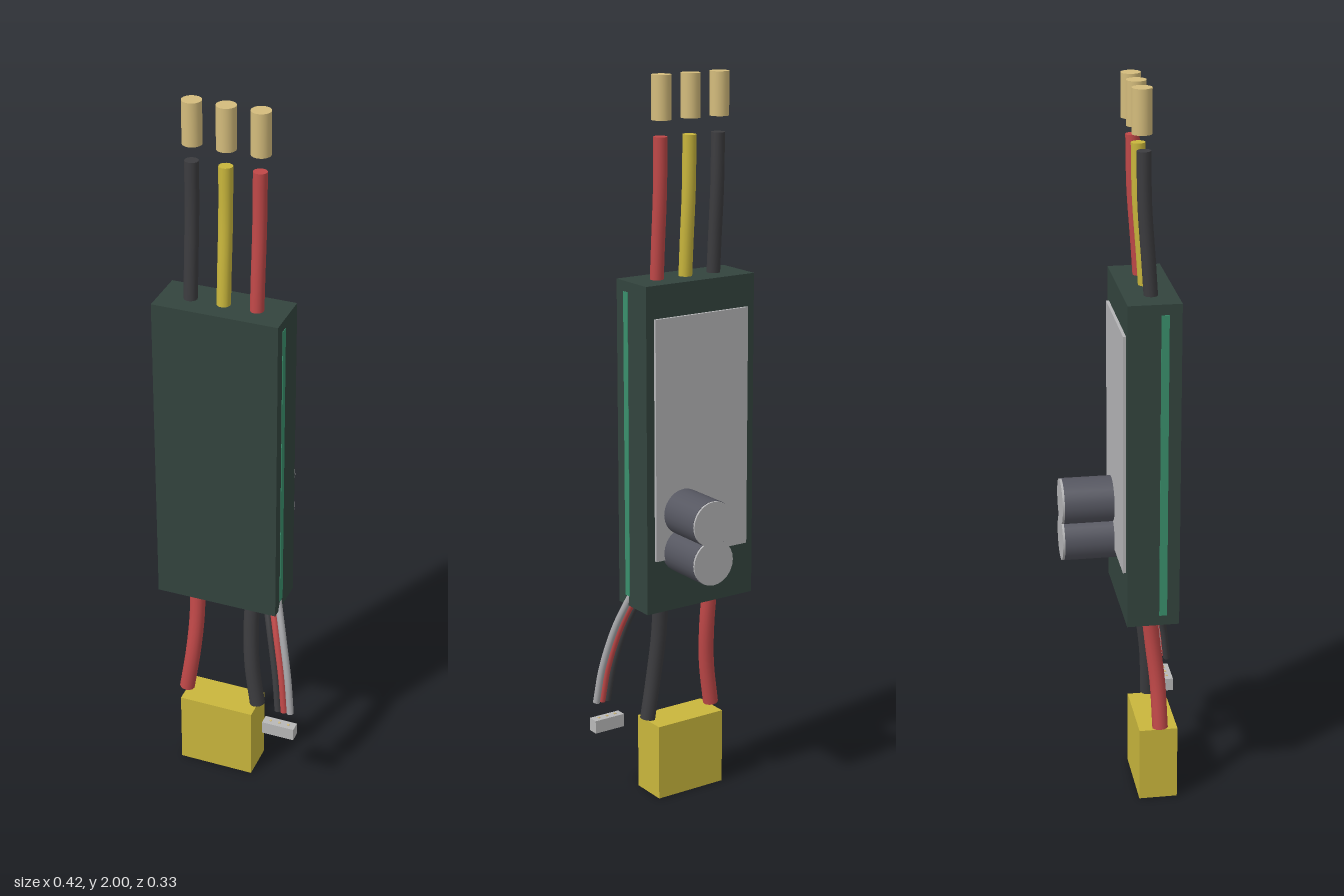
import * as THREE from 'three';

const CX = -0.037; // centre line of the housing
const COLORS = {
  housing: 0x33443e, board: 0x3a8f6c, metal: 0xb4b4b6, can: 0x555660, red: 0xc04848,
  black: 0x3c3c3f, yellow: 0xc9b63c, grey: 0xa5a5a8, gold: 0xd4bc7c, plug: 0xb8b8b8,
};
const materials = {};
for (const key in COLORS) materials[key] = new THREE.MeshStandardMaterial({ color: COLORS[key] });

export function createModel() {
  const model = new THREE.Group();
  model.name = 'speedController';

  const add = (name, geometry, color, x = 0, y = 0, z = 0) => {
    const mesh = new THREE.Mesh(geometry, materials[color]);
    mesh.name = name;
    mesh.position.set(x, y, z);
    model.add(mesh);
    return mesh;
  };
  // Box given by its lower and upper corners
  const box = (name, color, a, b) => add(name,
    new THREE.BoxGeometry(b[0] - a[0], b[1] - a[1], b[2] - a[2]), color,
    (a[0] + b[0]) / 2, (a[1] + b[1]) / 2, (a[2] + b[2]) / 2);
  // Round wire with closed ends
  const wire = (name, color, radius, points) => {
    const curve = new THREE.CatmullRomCurve3(points.map(p => new THREE.Vector3(...p)));
    add(name, new THREE.TubeGeometry(curve, 20, radius, 14), color);
    for (const t of [0, 1]) {
      const p = curve.getPointAt(t);
      const cap = add(name + 'End', new THREE.CircleGeometry(radius, 14), color, p.x, p.y, p.z);
      const out = curve.getTangentAt(t).multiplyScalar(t ? 1 : -1);
      cap.quaternion.setFromUnitVectors(new THREE.Vector3(0, 0, 1), out);
    }
  };

  // Housing, circuit board edge on both sides, heat sink on the back
  box('housing', 'housing', [-0.209, 0.572, -0.02], [0.135, 1.468, 0.12]);
  box('circuitBoard', 'board', [-0.2105, 0.6, 0.066], [0.1365, 1.44, 0.087]);
  box('heatSink', 'metal', [-0.185, 0.72, -0.028], [0.111, 1.38, -0.018]);

  // Pair of capacitors with metal end discs
  for (const y of [0.74, 0.847]) {
    add('capacitor', new THREE.CylinderGeometry(0.063, 0.063, 0.143, 24), 'can', 0.023, y, -0.0905)
      .rotation.x = Math.PI / 2;
    add('capacitorEnd', new THREE.CylinderGeometry(0.062, 0.062, 0.006, 24), 'metal', 0.023, y, -0.165)
      .rotation.x = Math.PI / 2;
  }

  // Three motor wires with bullet connectors
  ['black', 'yellow', 'red'].forEach((color, i) => {
    const x = CX + (i - 1) * 0.0905;
    wire('motorWire', color, 0.0185,
      [[x, 1.44, 0.054], [x, 1.56, 0.046], [x, 1.7, 0.036], [x, 1.842, 0.033]]);
    add('bulletConnector', new THREE.CylinderGeometry(0.026, 0.026, 0.115, 24), 'gold', x, 1.9425, 0.028);
  });

  // Mirrored battery wires and their connector
  for (const [side, color] of [[-1, 'red'], [1, 'black']]) {
    const at = (d, y, z) => [CX + side * d, y, z];
    wire('batteryWire', color, 0.0215,
      [at(0.083, 0.6, 0.05), at(0.081, 0.47, 0.064), at(0.089, 0.35, 0.077), at(0.107, 0.223, 0.082)]);
  }
  box('batteryConnector', 'yellow', [-0.144, 0, 0.025], [0.07, 0.215, 0.131]);

  // Signal lead with its small plug
  ['black', 'red', 'grey'].forEach((color, i) => {
    const x = i * 0.018;
    wire('signalWire', color, 0.0098,
      [[0.09 + x, 0.6, 0.075], [0.119 + x, 0.5, 0.112], [0.145 + x, 0.38, 0.139], [0.158 + x, 0.275, 0.152]]);
  });
  box('signalPlug', 'plug', [0.115, 0.191, 0.134], [0.208, 0.228, 0.164]);
  for (let i = -1; i <= 1; i++) {
    const x = 0.1615 + i * 0.026;
    box('signalPin', 'gold', [x - 0.003, 0.189, 0.146], [x + 0.003, 0.23, 0.152]);
  }
  return model;
}
